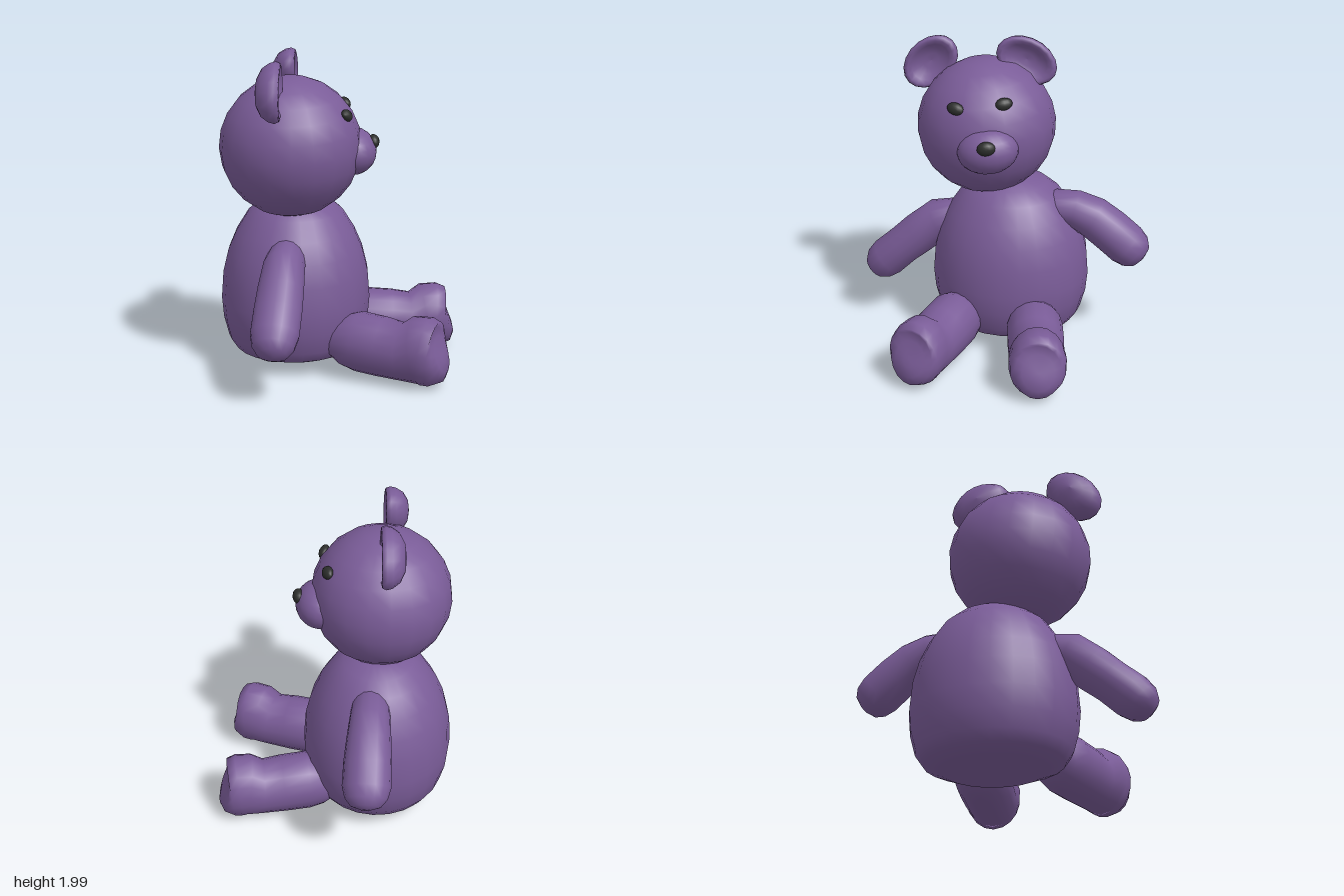
import * as THREE from 'three';

const fur = new THREE.MeshStandardMaterial({ color: 0x7a5c98 });
const dark = new THREE.MeshStandardMaterial({ color: 0x2c2e2c });

function add(parent, name, geometry, material = fur) {
  const mesh = new THREE.Mesh(geometry, material);
  mesh.name = name;
  parent.add(mesh);
  return mesh;
}

// Ellipsoid with given centre, half sizes and rotation
function ellipsoid(parent, name, center, size, rotation, material = fur, w = 20, h = 12) {
  const mesh = add(parent, name, new THREE.SphereGeometry(1, w, h), material);
  mesh.position.set(...center);
  mesh.scale.set(...size);
  mesh.rotation.set(...rotation);
  return mesh;
}

// Closed limb: sections [x, y, radius in the xy plane, radius along z]
function limb(sections, sides = 16) {
  const pos = [], index = [], n = sections.length;
  sections.forEach(([x, y, a, b], i) => {
    const p = sections[Math.max(i - 1, 0)], q = sections[Math.min(i + 1, n - 1)];
    const t = new THREE.Vector2(q[0] - p[0], q[1] - p[1]).normalize();
    for (let j = 0; j < sides; j++) {
      const u = (j / sides) * Math.PI * 2, c = Math.cos(u) * a;
      pos.push(x - t.y * c, y + t.x * c, Math.sin(u) * b);
      if (i === n - 1) continue;
      const k = i * sides + j, l = i * sides + (j + 1) % sides;
      index.push(k, l, k + sides, l, l + sides, k + sides);
    }
  });
  // End caps
  for (const ring of [0, n - 1]) {
    const c = pos.length / 3;
    pos.push(sections[ring][0], sections[ring][1], 0);
    for (let j = 0; j < sides; j++) {
      const k = ring * sides + j, l = ring * sides + (j + 1) % sides;
      index.push(c, ring ? k : l, ring ? l : k);
    }
  }
  const g = new THREE.BufferGeometry();
  g.setAttribute('position', new THREE.Float32BufferAttribute(pos, 3));
  g.setIndex(index);
  g.computeVertexNormals();
  return g;
}

const lathe = (points, sides) =>
  new THREE.LatheGeometry(points.map(p => new THREE.Vector2(...p)), sides);

export function createModel() {
  const bear = new THREE.Group();
  bear.name = 'teddyBear';

  // Pear-shaped body
  const body = add(bear, 'body', lathe([
    [0, 0.03], [0.28, 0.068], [0.39, 0.115], [0.432, 0.18], [0.462, 0.3], [0.473, 0.43],
    [0.46, 0.6], [0.426, 0.74], [0.375, 0.86], [0.3, 0.98], [0.22, 1.05], [0.12, 1.09], [0, 1.1],
  ], 24));
  body.position.set(-0.26, 0, -0.04);
  body.scale.z = 1.08;

  // Tilted head and snout, turned slightly to one side
  const turn = [0.1, 0.17, 0];
  ellipsoid(bear, 'head', [-0.262, 1.421, 0.12], [0.437, 0.433, 0.44], turn);
  ellipsoid(bear, 'muzzle', [0.105, 1.385, 0.045], [0.155, 0.146, 0.19], turn);
  ellipsoid(bear, 'nose', [0.238, 1.443, 0.03], [0.037, 0.044, 0.057], turn, dark, 14, 10);
  ellipsoid(bear, 'leftEye', [0.055, 1.668, -0.045], [0.03, 0.038, 0.054], [0.15, 0.42, 0.45], dark, 14, 10);
  ellipsoid(bear, 'rightEye', [0.098, 1.635, 0.243], [0.03, 0.038, 0.054], [-0.2, -0.2, 0.45], dark, 14, 10);

  // Cupped ears: domed back, rounded rim, shallow hollow in front
  const earShape = lathe([
    [0, -0.085], [0.09, -0.075], [0.155, -0.045], [0.19, 0], [0.2, 0.035], [0.188, 0.06],
    [0.165, 0.064], [0.135, 0.046], [0.1, 0.024], [0.055, 0.01], [0, 0.005],
  ], 18);
  earShape.rotateZ(-Math.PI / 2);
  earShape.scale(1, 0.72, 1);
  for (const [name, y, z, tilt] of [['rightEar', 1.8, 0.485, 0.78], ['leftEar', 1.84, -0.125, -0.48]]) {
    const ear = add(bear, name, earShape);
    ear.position.set(-0.325, y, z);
    ear.rotation.set(tilt, 0.08, 0, 'YXZ');
  }

  // Arms reach out sideways and bend down
  const lowArm = add(bear, 'rightArm', limb([
    [0.2, 0.77, 0.08, 0.07], [0.3, 0.77, 0.12, 0.115], [0.44, 0.735, 0.138, 0.128],
    [0.57, 0.63, 0.137, 0.14], [0.68, 0.535, 0.13, 0.145], [0.79, 0.435, 0.134, 0.145],
    [0.85, 0.38, 0.118, 0.125], [0.885, 0.345, 0.085, 0.09], [0.902, 0.33, 0.03, 0.03],
  ]));
  lowArm.position.x = -0.258;
  lowArm.rotation.y = -Math.PI / 2;
  const highArm = add(bear, 'leftArm', limb([
    [0.2, 0.89, 0.08, 0.07], [0.32, 0.905, 0.105, 0.115], [0.46, 0.89, 0.122, 0.125],
    [0.58, 0.84, 0.135, 0.135], [0.69, 0.76, 0.138, 0.145], [0.8, 0.668, 0.138, 0.147],
    [0.855, 0.622, 0.122, 0.128], [0.89, 0.592, 0.085, 0.09], [0.905, 0.58, 0.03, 0.03],
  ]));
  highArm.position.x = -0.227;
  highArm.rotation.y = Math.PI / 2;

  // Legs stretch forward, each ending in an upturned foot
  const legShape = limb([
    [-0.05, 0.19, 0.04, 0.04], [-0.03, 0.2, 0.1, 0.11], [0.04, 0.215, 0.155, 0.155],
    [0.15, 0.225, 0.188, 0.178], [0.3, 0.213, 0.186, 0.178], [0.44, 0.2, 0.178, 0.173],
    [0.535, 0.224, 0.21, 0.175], [0.59, 0.224, 0.214, 0.178], [0.645, 0.212, 0.202, 0.17],
    [0.675, 0.215, 0.17, 0.143], [0.692, 0.22, 0.115, 0.1], [0.697, 0.222, 0.05, 0.04],
  ], 18);
  for (const [name, x, y, z, yaw] of [
    ['rightLeg', 0.035, 0.005, 0.215, -0.3], ['leftLeg', 0.025, -0.003, -0.24, 0.19],
  ]) {
    const leg = add(bear, name, legShape);
    leg.position.set(x, y, z);
    leg.rotation.y = yaw;
  }
  return bear;
}
